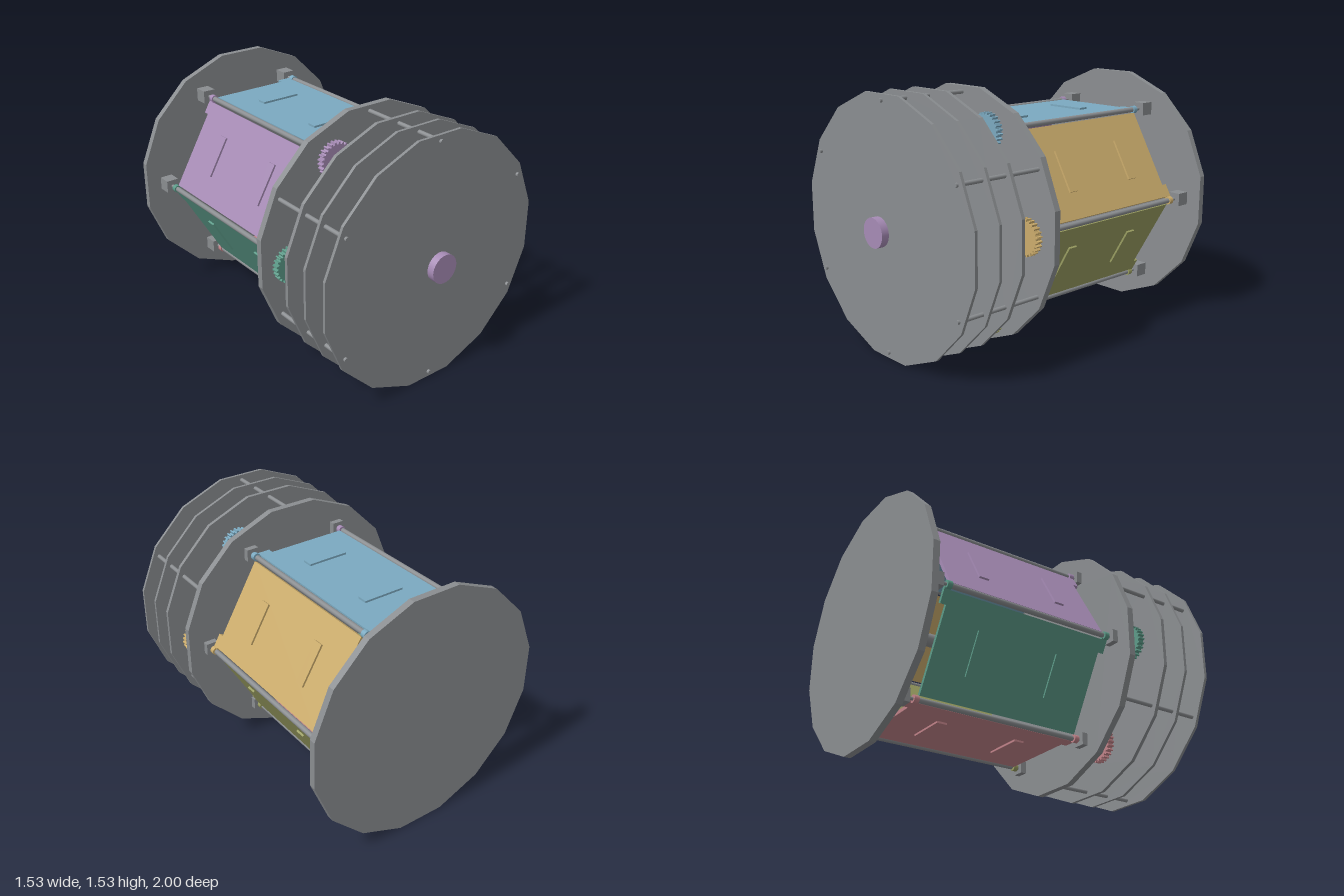
import * as THREE from 'three';

const CY = 0.765; // height of the main axis

export function createModel() {
  const root = new THREE.Group();
  root.name = 'gearedDrum';
  const mat = (name, color) => {
    const m = new THREE.MeshStandardMaterial({ color });
    m.name = name;
    return m;
  };
  const grey = mat('grey metal', 0x8a8d90);
  const blue = mat('blue', 0x7ba9c0);
  const ochre = mat('ochre', 0xcbac6c);
  const olive = mat('olive', 0x989c60);
  const rose = mat('rose', 0xc08288);
  const teal = mat('teal', 0x5c9a88);
  const purple = mat('purple', 0xa68bb5);
  const faceColours = [blue, ochre, olive, rose, teal, purple];

  const add = (parent, name, geo, material, x, y, z) => {
    const m = new THREE.Mesh(geo, material);
    m.name = name;
    m.position.set(x, y, z);
    parent.add(m);
    return m;
  };
  // Cylinder along z from z0 to z1
  const rod = (parent, name, r, x, y, z0, z1, material = grey, sides = 20) => {
    const geo = new THREE.CylinderGeometry(r, r, z1 - z0, sides).rotateX(Math.PI / 2);
    return add(parent, name, geo, material, x, y, (z0 + z1) / 2);
  };
  const box = (parent, name, w, h, d, material, x, y, z) =>
    add(parent, name, new THREE.BoxGeometry(w, h, d), material, x, y, z);

  // Sixteen-sided plate with a flat edge at the bottom
  const plate = (name, z0, z1) => {
    const pts = [];
    for (let i = 0; i < 16; i++) {
      const a = ((i + 0.5) / 16) * Math.PI * 2;
      pts.push(new THREE.Vector2(0.78 * Math.cos(a), 0.78 * Math.sin(a)));
    }
    const geo = new THREE.ExtrudeGeometry(new THREE.Shape(pts), { depth: z1 - z0, bevelEnabled: false });
    add(root, name, geo, grey, 0, CY, z0);
  };
  plate('backPlate', -1, -0.96);
  plate('bearingPlate', 0.305, 0.345);
  plate('innerGearPlate', 0.568, 0.59);
  plate('middleGearPlate', 0.732, 0.75);
  plate('frontPlate', 0.897, 0.915);

  // Toothed wheel, centred at z
  const gear = (name, R, x, y, z, depth, material, teeth = Math.round(R * 230)) => {
    const pts = [];
    const inner = R - 0.013;
    for (let i = 0; i < teeth; i++) {
      [[0, inner], [0.4, inner], [0.55, R], [0.85, R]].forEach(([t, r]) => {
        const a = ((i + t) / teeth) * Math.PI * 2;
        pts.push(new THREE.Vector2(r * Math.cos(a), r * Math.sin(a)));
      });
    }
    const geo = new THREE.ExtrudeGeometry(new THREE.Shape(pts), { depth, bevelEnabled: false });
    add(root, name, geo, material, x, y, z - depth / 2);
  };

  // Six hinged flaps with shafts, bearing blocks and pinions
  faceColours.forEach((colour, i) => {
    const flap = new THREE.Group();
    flap.name = 'flap' + (i + 1);
    flap.position.y = CY;
    flap.rotation.z = (-i * Math.PI) / 3;
    root.add(flap);
    box(flap, 'panel', 0.58, 0.022, 1.03, colour, 0, 0.542, -0.295);
    for (const z of [-0.03, -0.552]) box(flap, 'raisedPad', 0.26, 0.013, 0.063, colour, 0, 0.5585, z);
    for (const s of [-1, 1]) {
      const z = -0.295 + s * 0.533;
      box(flap, 'hingeTab', 0.09, 0.022, 0.036, colour, 0.255, 0.542, z);
      rod(flap, 'hingeCollar', 0.024, 0.315, 0.545, z - 0.012, z + 0.018, colour);
    }

    const a = Math.PI / 3 - (i * Math.PI) / 3;
    const x = 0.63 * Math.cos(a);
    const y = CY + 0.63 * Math.sin(a);
    rod(root, 'flapShaft', 0.016, x, y, -0.81, 0.22);
    rod(root, 'shaftEnd', 0.01, x, y, -0.96, 0.515);
    box(root, 'rearBearing', 0.08, 0.08, 0.085, grey, x, y, -0.9175);
    box(root, 'frontBearing', 0.075, 0.075, 0.037, grey, x, y, 0.2875);
    gear('flapPinion', 0.108, x, y, 0.43, 0.04, colour);
  });

  // Spacer rods joining the gear plates
  for (let i = 0; i < 6; i++) {
    const a = Math.PI / 2 + (i * Math.PI) / 3;
    rod(root, 'spacerRod', 0.0125, 0.73 * Math.cos(a), CY + 0.73 * Math.sin(a), 0.31, 0.93);
  }

  // Main axle, drive shaft, countershaft and their collars
  rod(root, 'mainAxle', 0.04, 0, CY, -0.96, 0.305, grey, 32);
  rod(root, 'driveShaft', 0.014, 0, CY, 0.3, 0.96);
  rod(root, 'counterShaft', 0.014, 0.31, CY, 0.57, 0.905);
  for (const z of [0.375, 0.475, 0.76]) rod(root, 'driveCollar', 0.05, 0, CY, z - 0.009, z + 0.009);
  for (const z of [0.605, 0.87]) rod(root, 'counterCollar', 0.055, 0.31, CY, z - 0.01, z + 0.01);

  // Gear train
  gear('centralGear', 0.53, 0, CY, 0.43, 0.04, ochre);
  gear('driveGear', 0.242, 0, CY, 0.672, 0.038, ochre);
  gear('counterPinion', 0.083, 0.31, CY, 0.672, 0.038, blue);
  gear('counterGear', 0.265, 0.31, CY, 0.812, 0.038, blue);
  gear('drivePinion', 0.055, 0, CY, 0.812, 0.038, purple);

  // Ratchet wheel with its two stop blocks
  gear('ratchetWheel', 0.155, 0, CY, 0.507, 0.02, ochre, 20);
  box(root, 'stopBlock', 0.05, 0.11, 0.07, grey, 0.13, 0.957, 0.534);
  box(root, 'stopBlock', 0.05, 0.06, 0.07, grey, 0.193, 0.93, 0.534);

  // Hand knob
  rod(root, 'knob', 0.088, 0, CY, 0.955, 1, purple, 32);
  return root;
}
